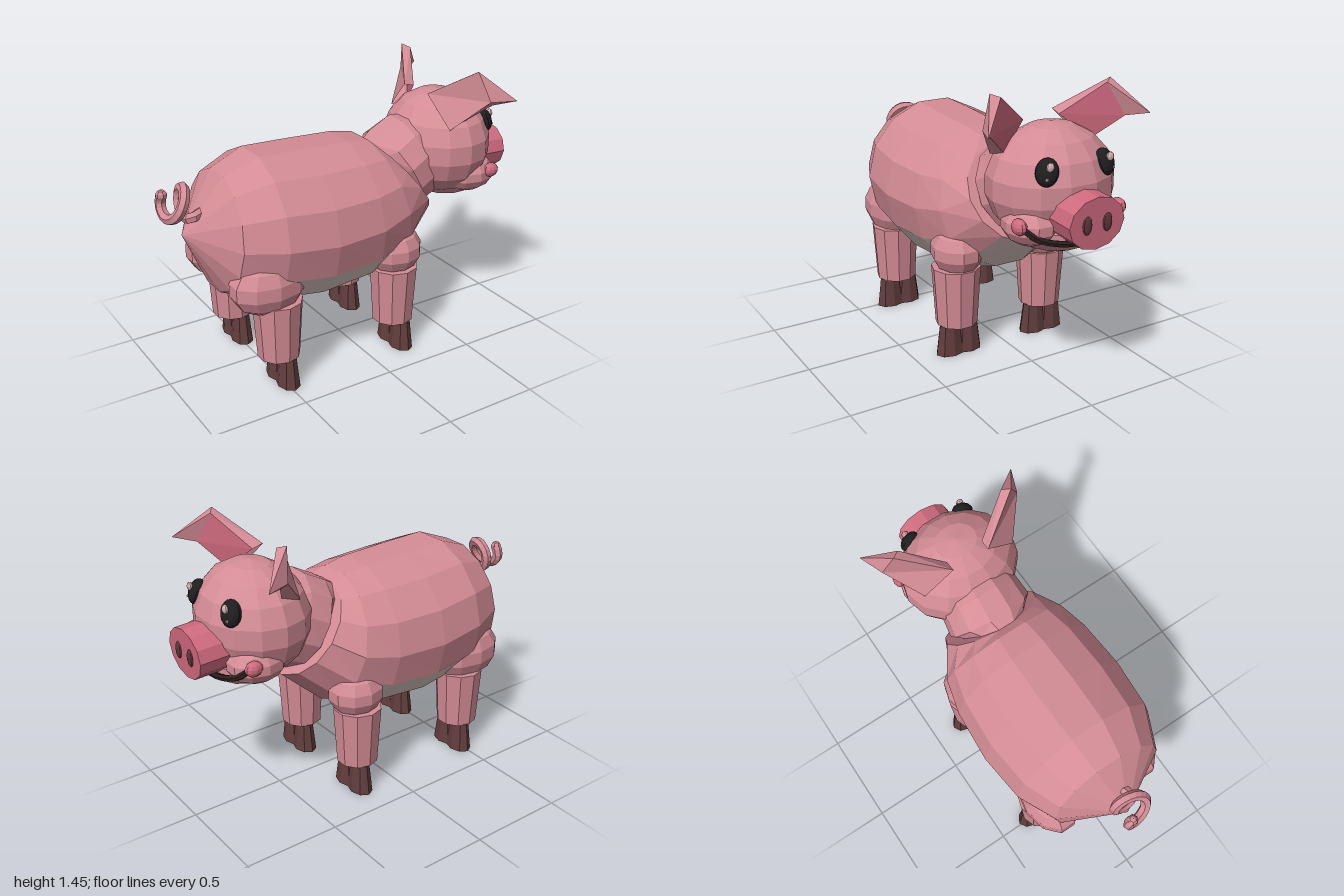
import * as THREE from 'three';

const material = (name, color, side = THREE.FrontSide) => {
  const m = new THREE.MeshStandardMaterial({ color, side });
  m.name = name;
  return m;
};

// Faceted normals without sharing vertices
function faceted(geo) {
  const g = geo.index ? geo.toNonIndexed() : geo;
  g.computeVertexNormals();
  return g;
}

function fromTriangles(points) {
  const g = new THREE.BufferGeometry();
  g.setAttribute('position', new THREE.Float32BufferAttribute(points.flat(), 3));
  g.computeVertexNormals();
  return g;
}

// Skins slanted oval rings [xTop, yTop, xBottom, yBottom, halfWidth], rear to front.
// Returns one geometry per value of pick(ring, segment).
function loft(rings, sides, pick = () => 0) {
  const out = [[], []];
  const vert = (i, j) => {
    const [xt, yt, xb, yb, w] = rings[i];
    const a = ((j + 0.5) * 2 * Math.PI) / sides;
    const k = Math.cos(a) / Math.cos(Math.PI / sides);
    return [(xt + xb) / 2 + (k * (xt - xb)) / 2, (yt + yb) / 2 + (k * (yt - yb)) / 2, w * Math.sin(a)];
  };
  for (let i = 0; i < rings.length - 1; i++) {
    for (let j = 0; j < sides; j++) {
      const a = vert(i, j), b = vert(i, j + 1), c = vert(i + 1, j + 1), d = vert(i + 1, j);
      out[pick(i, j)].push(a, b, c, a, c, d);
    }
  }
  return out.map(fromTriangles);
}

export function createModel() {
  const skin = material('skin pink', 0xd48c95, THREE.DoubleSide);
  const rose = material('rose', 0xd06b7f, THREE.DoubleSide);
  const belly = material('belly grey', 0xdec8c5);
  const hoof = material('hoof brown', 0x623e3d);
  const nostril = material('nostril brown', 0x5e373a);
  const black = material('eye black', 0x1e1e1f);
  const mouthDark = material('mouth dark', 0x2c1e1e);
  const glint = material('eye glint', 0xdcb4b4);

  const pig = new THREE.Group();
  pig.name = 'pig';
  const add = (name, geo, mat, parent = pig) => {
    const m = new THREE.Mesh(geo, mat);
    m.name = name;
    parent.add(m);
    return m;
  };
  const ball = (name, mat, pos, radii, ws = 10, hs = 7, parent = pig) => {
    const g = new THREE.SphereGeometry(1, ws, hs);
    g.rotateY(Math.PI / ws);
    g.scale(...radii);
    const m = add(name, faceted(g), mat, parent);
    m.position.set(...pos);
    return m;
  };

  // Barrel body, with the pale grey belly split off from the lower segments
  const bodyRings = [
    [-0.88, 0.8, -0.88, 0.8, 0],
    [-0.68, 1.08, -0.73, 0.48, 0.31],
    [-0.5, 1.15, -0.52, 0.39, 0.4],
    [-0.25, 1.14, -0.25, 0.355, 0.425],
    [0, 1.13, 0.05, 0.375, 0.405],
    [0.13, 1.11, 0.28, 0.46, 0.36],
    [0.18, 1.07, 0.5, 0.66, 0.265],
    [0.32, 0.88, 0.32, 0.88, 0],
  ];
  const isBelly = (i, j) => {
    if (i === 5) return j === 5 || j === 6 ? 1 : 0;
    return i >= 2 && i < 5 && j >= 4 && j <= 8 ? 1 : 0;
  };
  const [bodyGeo, bellyGeo] = loft(bodyRings, 14, isBelly);
  add('body', bodyGeo, skin);
  add('belly', bellyGeo, belly);

  // Neck
  const neckRings = [
    [0.18, 1.07, 0.44, 0.67, 0.17],
    [0.23, 1.1, 0.46, 0.69, 0.23],
    [0.35, 1.165, 0.54, 0.72, 0.215],
    [0.58, 1.15, 0.64, 0.78, 0.18],
  ];
  add('neck', loft(neckRings, 12)[0], skin);

  // Head, chin and jowls
  const head = new THREE.Group();
  head.name = 'head';
  pig.add(head);
  ball('skull', skin, [0.62, 1.0, 0], [0.275, 0.287, 0.318], 14, 9, head);
  ball('chin', skin, [0.68, 0.795, 0], [0.2, 0.105, 0.21], 12, 7, head);

  // Snout with nostrils
  const snoutGeo = new THREE.CylinderGeometry(1, 1, 0.21, 12);
  snoutGeo.rotateZ(-Math.PI / 2);
  snoutGeo.scale(1, 0.125, 0.15);
  const snout = add('snout', faceted(snoutGeo), rose, head);
  snout.position.set(0.882, 0.907, 0);
  snout.rotation.z = -0.04;

  // Smiling mouth
  const smile = new THREE.CatmullRomCurve3(
    [[0.79, 0.875, 0.27], [0.838, 0.825, 0.222], [0.866, 0.79, 0.12], [0.872, 0.777, 0],
      [0.866, 0.79, -0.12], [0.838, 0.825, -0.222], [0.79, 0.875, -0.27]].map(p => new THREE.Vector3(...p)));
  add('mouth', faceted(new THREE.TubeGeometry(smile, 18, 0.016, 6)), mouthDark, head);

  // Folded ear: outer shell, rim and rose lining
  const B = [0.48, 1.3, 0.1], A = [0.62, 1.45, 0.33], F = [0.66, 1.3, 0.39], C = [0.51, 1.14, 0.26];
  const B2 = [0.54, 1.285, 0.1], A2 = [0.65, 1.435, 0.29], F2 = [0.69, 1.275, 0.37], C2 = [0.6, 1.16, 0.24];
  const T = [0.79, 1.3, 0.44];
  const quad = (a, b, c, d) => [a, b, c, a, c, d];
  const shellGeo = fromTriangles([
    ...quad(B, C, F, A), A, F, T, A, T, A2, A2, T, F2, T, F, F2,
    ...quad(F, C, C2, F2), ...quad(B, A, A2, B2),
  ]);
  const liningGeo = fromTriangles(quad(B2, A2, F2, C2));

  for (const s of [1, -1]) {
    const side = s > 0 ? 'left' : 'right';
    const ear = new THREE.Group();
    ear.name = side + 'Ear';
    ear.scale.z = s;
    head.add(ear);
    add('earShell', shellGeo, skin, ear);
    add('earLining', liningGeo, rose, ear);

    // Jowl, eye, glints, cheek and nostril
    ball(side + 'Jowl', skin, [0.71, 0.85, s * 0.175], [0.15, 0.1, 0.125], 10, 7, head);
    const eye = ball(side + 'Eye', black, [0.82, 1.118, s * 0.158], [0.04, 0.066, 0.054], 12, 9, head);
    eye.rotation.set(-s * 0.2, -s * 0.45, 0.25);
    ball(side + 'EyeGlint', glint, [0.852, 1.15, s * 0.163], [0.014, 0.022, 0.02], 8, 6, head);
    ball(side + 'SmallGlint', glint, [0.855, 1.096, s * 0.182], [0.008, 0.008, 0.008], 6, 4, head);
    ball(side + 'Cheek', rose, [0.785, 0.875, s * 0.277], [0.046, 0.038, 0.033], 10, 7, head);
    ball(side + 'Nostril', nostril, [0.988, 0.902, s * 0.055], [0.011, 0.044, 0.026], 10, 8, head);

    // Legs: rounded joint, tapered shank and cloven hoof
    for (const [name, x, joint, radii] of [
      ['Front', 0.18, [0.185, 0.555, s * 0.25], [0.15, 0.13, 0.135]],
      ['Rear', -0.51, [-0.555, 0.56, s * 0.25], [0.205, 0.155, 0.135]],
    ]) {
      const leg = new THREE.Group();
      leg.name = side + name + 'Leg';
      pig.add(leg);
      ball('joint', skin, joint, radii, 10, 7, leg);
      const shank = add('shank', faceted(new THREE.CylinderGeometry(0.127, 0.108, 0.31, 10)), skin, leg);
      shank.position.set(x, 0.313, s * 0.255);
      for (const t of [1, -1]) {
        const toeGeo = new THREE.CylinderGeometry(0.057, 0.078, 0.16, 8);
        toeGeo.scale(0.72, 1, 1);
        const toe = add('hoofToe', faceted(toeGeo), hoof, leg);
        toe.position.set(x + 0.02, 0.08, s * 0.255 + t * 0.051);
      }
    }
  }

  // Corkscrew tail
  const coil = [new THREE.Vector3(-0.74, 0.91, 0)];
  for (let i = 0; i <= 14; i++) {
    const u = i / 14, a = -0.5 + u * Math.PI * 2.9;
    const up = -0.08 * Math.cos(a) * (1 - 0.25 * u);
    coil.push(new THREE.Vector3(-0.82 - 0.14 * u + 0.3 * up, 0.965 + up, -0.08 * Math.sin(a) * (1 - 0.2 * u)));
  }
  add('tail', faceted(new THREE.TubeGeometry(new THREE.CatmullRomCurve3(coil), 32, 0.027, 6)), skin);
  const end = coil[coil.length - 1];
  ball('tailTip', skin, [end.x, end.y, end.z], [0.029, 0.027, 0.027], 6, 5);

  return pig;
}
